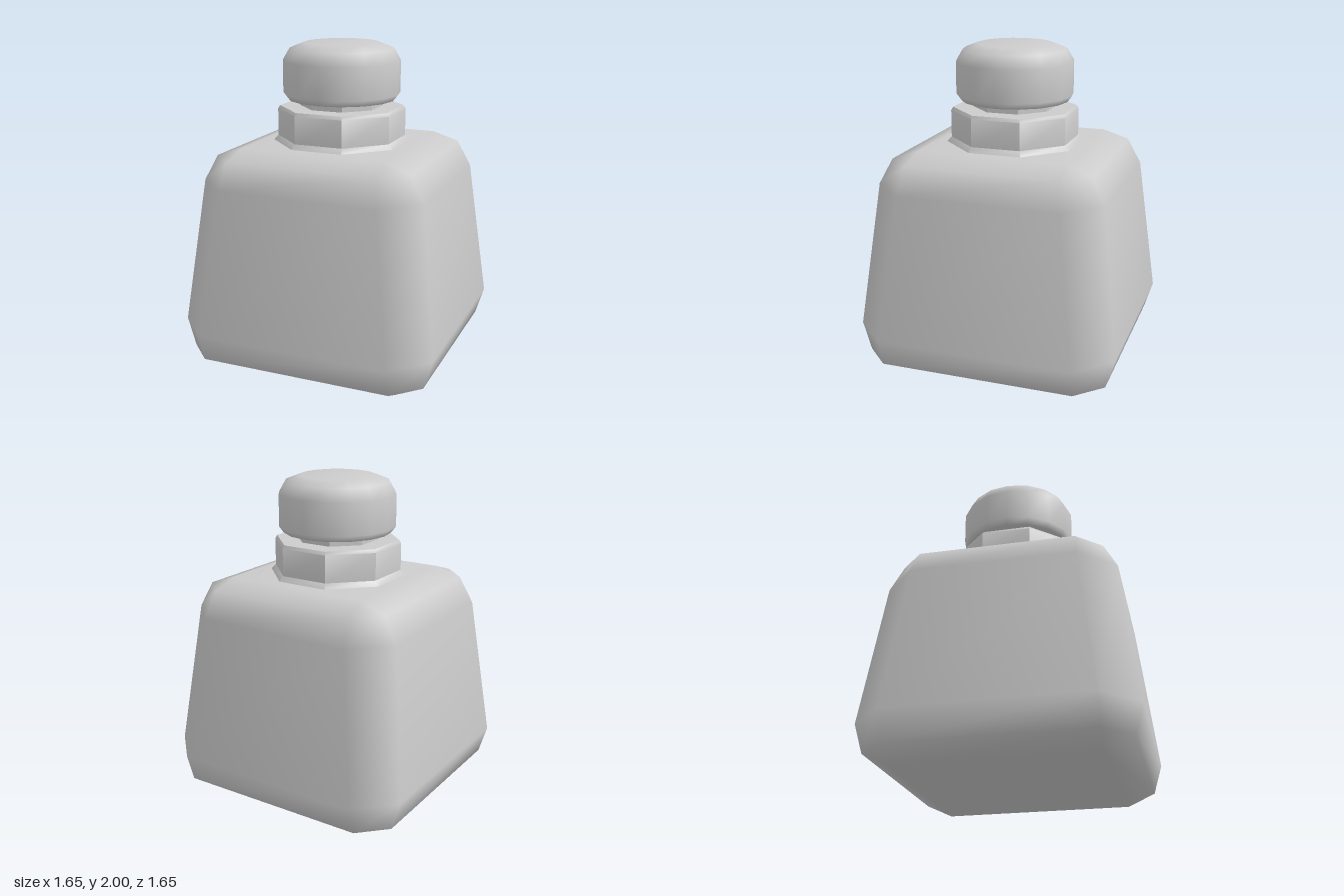
import * as THREE from 'three';
import { mergeVertices, toCreasedNormals } from 'three/addons/utils/BufferGeometryUtils.js';

// Square with cut corners: half is the distance to a side, flat is half that side's length
const cutSquare = (half, flat) => [
  [half, flat], [flat, half], [-flat, half], [-half, flat],
  [-half, -flat], [-flat, -half], [flat, -half], [half, -flat],
];
const octagon = (half) => cutSquare(half, half * Math.tan(Math.PI / 8));
const circle = (radius, sides = 16) => Array.from({ length: sides }, (_, i) => {
  const a = (i / sides) * Math.PI * 2;
  return [radius * Math.cos(a), radius * Math.sin(a)];
});

// Joins sections [y, outline] from bottom to top and closes both ends
function loft(sections) {
  const positions = [];
  const index = [];
  const n = sections[0][1].length;
  for (const [y, outline] of sections) {
    for (const [x, z] of outline) positions.push(x, y, z);
  }
  const last = (sections.length - 1) * n;
  const bottom = last + n;
  const top = bottom + 1;
  positions.push(0, sections[0][0], 0, 0, sections[sections.length - 1][0], 0);
  for (let i = 0; i < n; i++) {
    const j = (i + 1) % n;
    for (let r = 0; r < last; r += n) {
      index.push(r + i, r + n + i, r + j, r + j, r + n + i, r + n + j);
    }
    index.push(bottom, i, j, top, last + j, last + i);
  }
  const geometry = new THREE.BufferGeometry();
  geometry.setAttribute('position', new THREE.Float32BufferAttribute(positions, 3));
  geometry.setIndex(index);
  const merged = mergeVertices(geometry);
  merged.computeVertexNormals();
  return merged;
}

export function createModel() {
  const group = new THREE.Group();
  const material = new THREE.MeshStandardMaterial({ color: 0xcccccc });
  const add = (name, geometry) => {
    const mesh = new THREE.Mesh(geometry, material);
    mesh.name = name;
    group.add(mesh);
  };

  // Tapered square body with softened corners, shoulders and base
  add('body', loft([
    [0, 0.6, 0.6], [0.08, 0.77, 0.61], [0.26, 0.825, 0.61],
    [1.17, 0.715, 0.5], [1.33, 0.63, 0.48], [1.385, 0.465, 0.465],
  ].map(([y, half, flat]) => [y, cutSquare(half, flat)])));

  // Eight-sided collar flaring into the shoulders
  add('collar', toCreasedNormals(loft([
    [1.37, 0.4], [1.385, 0.398], [1.415, 0.372], [1.585, 0.372], [1.605, 0.36],
  ].map(([y, half]) => [y, octagon(half)])), 0.7));

  // Narrow neck in the gap under the cap
  add('neck', toCreasedNormals(loft([
    [1.59, octagon(0.24)], [1.65, octagon(0.24)],
  ]), 0.7));

  // Round cap with softened rims
  add('cap', loft([
    [1.635, 0.245], [1.652, 0.34], [1.69, 0.368],
    [1.89, 0.368], [1.965, 0.325], [2, 0.235],
  ].map(([y, radius]) => [y, circle(radius)])));

  return group;
}
